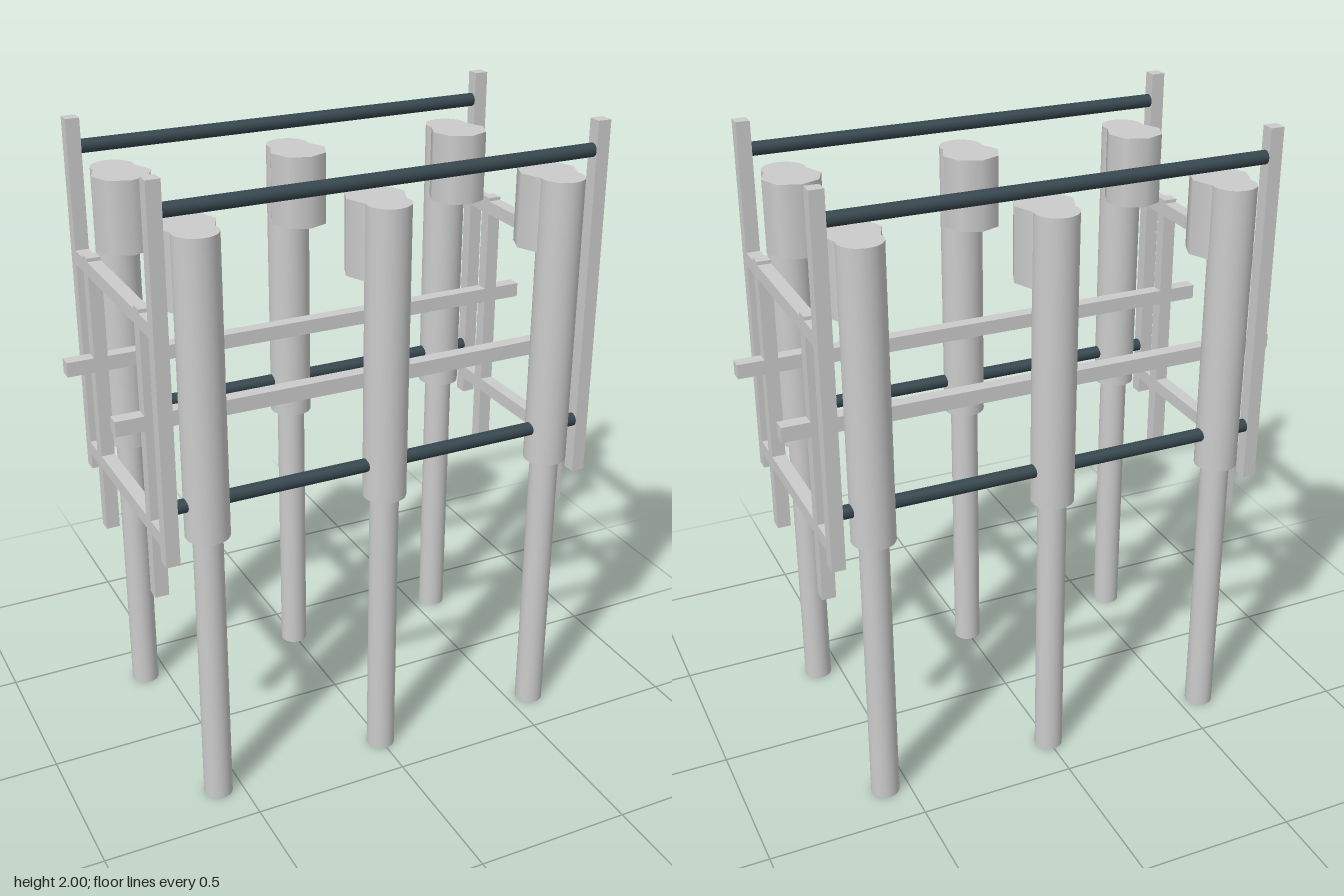
import * as THREE from 'three';

export function createModel() {
  const model = new THREE.Group();
  const grey = new THREE.MeshStandardMaterial({ color: 0xcccccc });
  const dark = new THREE.MeshStandardMaterial({ color: 0x37474f });
  const BAR = 0.043; // thickness of the square bars

  const add = (name, geometry, x, y, z, material = grey) => {
    const mesh = new THREE.Mesh(geometry, material);
    mesh.name = name;
    mesh.position.set(x, y, z);
    model.add(mesh);
    return mesh;
  };
  // Square bar or cylinder standing between two heights
  const bar = (name, x, z, y0, y1) =>
    add(name, new THREE.BoxGeometry(BAR, y1 - y0, BAR), x, (y0 + y1) / 2, z);
  const column = (name, r, sides, x, z, y0, y1) =>
    add(name, new THREE.CylinderGeometry(r, r, y1 - y0, sides), x, (y0 + y1) / 2, z);

  for (const side of [1, -1]) {
    const label = side > 0 ? 'front' : 'back';

    // Three legs with thick sleeves and eight-sided heads on the inner side
    for (const x of [-0.575, 0, 0.575]) {
      column(label + 'Leg', 0.045, 32, x, side * 0.344, 0, 0.94);
      column(label + 'Sleeve', 0.067, 32, x, side * 0.344, 0.925, 1.84);
      column(label + 'Head', 0.092, 8, x, side * 0.262, 1.612, 1.84);
    }

    // Dark round rods between the outer posts
    for (const y of [1.037, 1.91]) {
      const rod = add(label + 'Rod', new THREE.CylinderGeometry(0.021, 0.021, 1.342, 24),
        0, y, side * 0.347, dark);
      rod.rotation.z = Math.PI / 2;
    }

    // Long horizontal beam
    add(label + 'Beam', new THREE.BoxGeometry(1.6, 0.047, BAR), 0, 1.267, side * 0.23);

    // Upright posts of the end frames
    for (const x of [-0.692, 0.692]) {
      bar(label + 'OuterPost', x, side * 0.347, 0.86, 2);
      bar(label + 'InnerPost', x, side * 0.23, 0.695, 1.61);
    }
  }

  // Rails joining the front and back posts at each end
  for (const x of [-0.692, 0.692]) {
    for (const y of [0.934, 1.577]) {
      add(x > 0 ? 'leftRail' : 'rightRail', new THREE.BoxGeometry(BAR, 0.044, 0.652), x, y, 0);
    }
  }
  return model;
}
